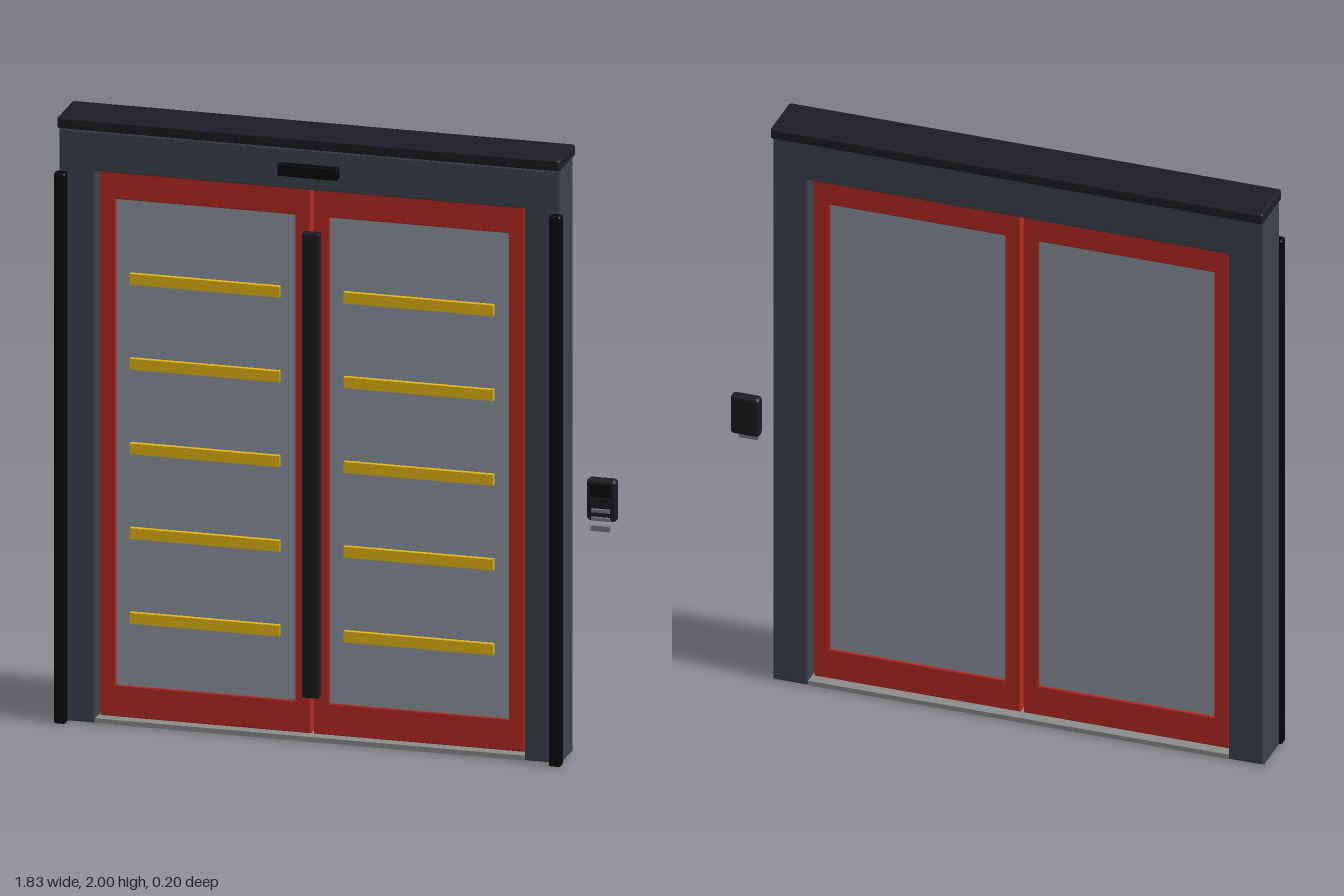
import * as THREE from 'three';
import { RoundedBoxGeometry } from 'three/addons/geometries/RoundedBoxGeometry.js';

const paint = (color) => new THREE.MeshStandardMaterial({ color });
const mats = {
  frame: paint(0x3c424d), cap: paint(0x1c1d21), black: paint(0x060607),
  red: paint(0xb62a22), glass: paint(0x8e96a3), yellow: paint(0xe4b612),
  steel: paint(0x8c8c8c), dark: paint(0x1a1c20), metal: paint(0x74777c),
};

// Box given by its extents; an optional radius rounds its edges
function block(parent, name, mat, [x0, x1], [y0, y1], [z0, z1], radius = 0) {
  const size = [x1 - x0, y1 - y0, z1 - z0];
  const geo = radius ? new RoundedBoxGeometry(...size, 2, radius) : new THREE.BoxGeometry(...size);
  const mesh = new THREE.Mesh(geo, mat);
  mesh.name = name;
  mesh.position.set((x0 + x1) / 2, (y0 + y1) / 2, (z0 + z1) / 2);
  parent.add(mesh);
}

const outline = (PathType, points) => new PathType(points.map((p) => new THREE.Vector2(...p)));
const rectangle = (PathType, x0, x1, y0, y1) =>
  outline(PathType, [[x0, y0], [x1, y0], [x1, y1], [x0, y1]]);

// Flat shape extruded from z0 to z1, with small bevels kept inside its outline
function slab(parent, name, mat, shape, z0, z1, bevel) {
  const mesh = new THREE.Mesh(new THREE.ExtrudeGeometry(shape, {
    depth: z1 - z0 - 2 * bevel, bevelThickness: bevel, bevelSize: bevel,
    bevelOffset: -bevel, bevelSegments: 2,
  }), mat);
  mesh.name = name;
  mesh.position.z = z0 + bevel;
  parent.add(mesh);
}

// Door leaf centred on its own x = 0: red rim, pane and five warning bars
function doorLeaf(name) {
  const leaf = new THREE.Group();
  leaf.name = name;
  const shape = rectangle(THREE.Shape, -0.345, 0.345, 0.02, 1.824);
  shape.holes.push(rectangle(THREE.Path, -0.293, 0.293, 0.125, 1.73));
  slab(leaf, 'leafRim', mats.red, shape, -0.047, 0.035, 0.004);
  block(leaf, 'glassPane', mats.glass, [-0.294, 0.294], [0.124, 1.731], [-0.04, 0.03]);
  for (let i = 0; i < 5; i++) {
    const y = 0.353 + i * 0.28;
    block(leaf, 'warningBar', mats.yellow, [-0.245, 0.245], [y - 0.018, y + 0.018], [0.03, 0.046]);
  }
  return leaf;
}

export function createModel() {
  const model = new THREE.Group();

  // Doorway, built around its own middle
  const doorway = new THREE.Group();
  doorway.name = 'doorway';
  doorway.position.x = -0.083;
  model.add(doorway);

  // Jambs and header in one piece
  const portal = outline(THREE.Shape, [
    [-0.82, 0.003], [-0.703, 0.003], [-0.703, 1.826], [0.703, 1.826],
    [0.703, 0.003], [0.82, 0.003], [0.82, 1.96], [-0.82, 1.96],
  ]);
  slab(doorway, 'portalFrame', mats.frame, portal, -0.083, 0.067, 0.006);

  for (const side of [-1, 1]) {
    const guardSpan = side > 0 ? [0.79, 0.83] : [-0.83, -0.79];
    block(doorway, 'edgeGuard', mats.black, guardSpan, [0, 1.82], [0.064, 0.099], 0.008);
    const leaf = doorLeaf(side > 0 ? 'leftLeaf' : 'rightLeaf');
    leaf.position.x = side * 0.35;
    doorway.add(leaf);
  }
  block(doorway, 'topCap', mats.cap, [-0.823, 0.823], [1.962, 2], [-0.1, 0.081], 0.008);
  block(doorway, 'threshold', mats.steel, [-0.704, 0.704], [0.002, 0.018], [-0.08, 0.063]);
  block(doorway, 'centreSeal', mats.dark, [-0.028, 0.028], [0.143, 1.68], [0.03, 0.058], 0.005);

  // Motion sensor above the doors
  block(doorway, 'sensor', mats.black, [-0.099, 0.099], [1.872, 1.912], [0.066, 0.093], 0.005);

  // Free-standing control panel beside the doorway
  const panel = new THREE.Group();
  panel.name = 'controlPanel';
  model.add(panel);
  block(panel, 'panelBody', mats.dark, [0.816, 0.914], [0.807, 0.946], [0.009, 0.047], 0.013);
  block(panel, 'panelScreen', mats.black, [0.832, 0.898], [0.893, 0.93], [0.044, 0.058]);
  for (const y of [0.845, 0.818]) {
    block(panel, 'panelSlot', mats.metal, [0.835, 0.895], [y - 0.005, y + 0.005], [0.044, 0.058]);
  }
  block(panel, 'panelTray', mats.metal, [0.834, 0.897], [0.779, 0.796], [0.046, 0.06]);

  return model;
}
